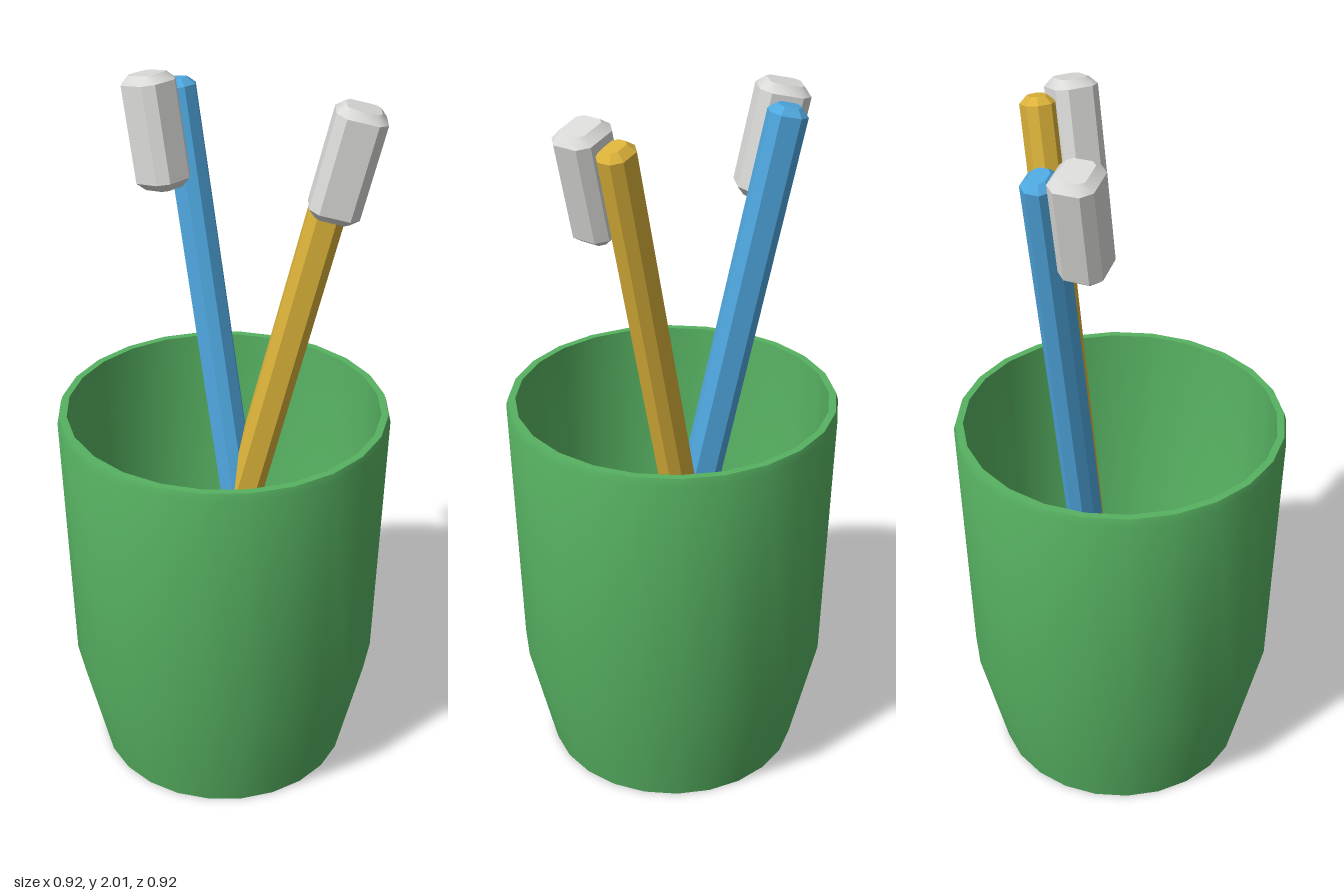
import * as THREE from 'three';
import { toCreasedNormals } from 'three/addons/utils/BufferGeometryUtils.js';

const material = (name, color) => {
  const m = new THREE.MeshStandardMaterial({ color });
  m.name = name;
  return m;
};

function mesh(name, geometry, mat) {
  const m = new THREE.Mesh(geometry, mat);
  m.name = name;
  return m;
}

// Upright bar, w by d by h, centred, with every edge chamfered by c
function chamferedBar(w, h, d, c) {
  const x = w / 2 - c, y = d / 2 - c, k = c * 0.6;
  const shape = new THREE.Shape([
    [x, -y + k], [x, y - k], [x - k, y], [-x + k, y],
    [-x, y - k], [-x, -y + k], [-x + k, -y], [x - k, -y],
  ].map(([a, b]) => new THREE.Vector2(a, b)));
  const geo = new THREE.ExtrudeGeometry(shape, {
    depth: h - 2 * c, bevelEnabled: true, bevelSize: c, bevelThickness: c, bevelSegments: 1,
  });
  geo.translate(0, 0, -(h - 2 * c) / 2);
  geo.rotateX(-Math.PI / 2);
  return geo;
}

// Toothbrush leaning from foot to tip, bristles facing forward
function toothbrush(name, foot, tip, handleMat, bristleMat) {
  const axis = tip.clone().sub(foot);
  const length = axis.length();
  axis.normalize();
  const facing = new THREE.Vector3(axis.z, 0, -axis.x).normalize();
  if (facing.z < 0) facing.negate();
  const side = new THREE.Vector3().crossVectors(axis, facing);

  const brush = new THREE.Group();
  brush.name = name;
  const handle = mesh('handle', chamferedBar(0.1, length, 0.085, 0.02), handleMat);
  handle.position.y = length / 2;
  const bristles = mesh('bristles',
    toCreasedNormals(chamferedBar(0.135, 0.305, 0.12, 0.022), 0.7), bristleMat);
  bristles.position.set(0, length - 0.12, 0.097);
  brush.add(handle, bristles);
  brush.quaternion.setFromRotationMatrix(new THREE.Matrix4().makeBasis(side, axis, facing));
  brush.position.copy(foot);
  return brush;
}

export function createModel() {
  const green = material('cup green', 0x57b262);
  const blue = material('handle blue', 0x4fa8e0);
  const yellow = material('handle yellow', 0xdbb23a);
  const white = material('bristle white', 0xdadad8);

  const model = new THREE.Group();
  model.name = 'toothbrushCup';

  // Hollow cup: outside wall, rim, inside wall and floor
  const profile = [
    [0, 0], [0.365, 0], [0.44, 0.33], [0.461, 1.1], [0.455, 1.12],
    [0.435, 1.12], [0.408, 0.34], [0.328, 0.04], [0, 0.04],
  ].map(([r, y]) => new THREE.Vector2(r, y));
  model.add(mesh('cup', toCreasedNormals(new THREE.LatheGeometry(profile, 24), 0.5), green));

  // Two crossed brushes
  model.add(
    toothbrush('blueToothbrush', new THREE.Vector3(0.14, 0.045, -0.04),
      new THREE.Vector3(-0.217, 1.965, -0.203), blue, white),
    toothbrush('yellowToothbrush', new THREE.Vector3(-0.144, 0.045, -0.035),
      new THREE.Vector3(0.288, 1.95, -0.203), yellow, white),
  );
  return model;
}
